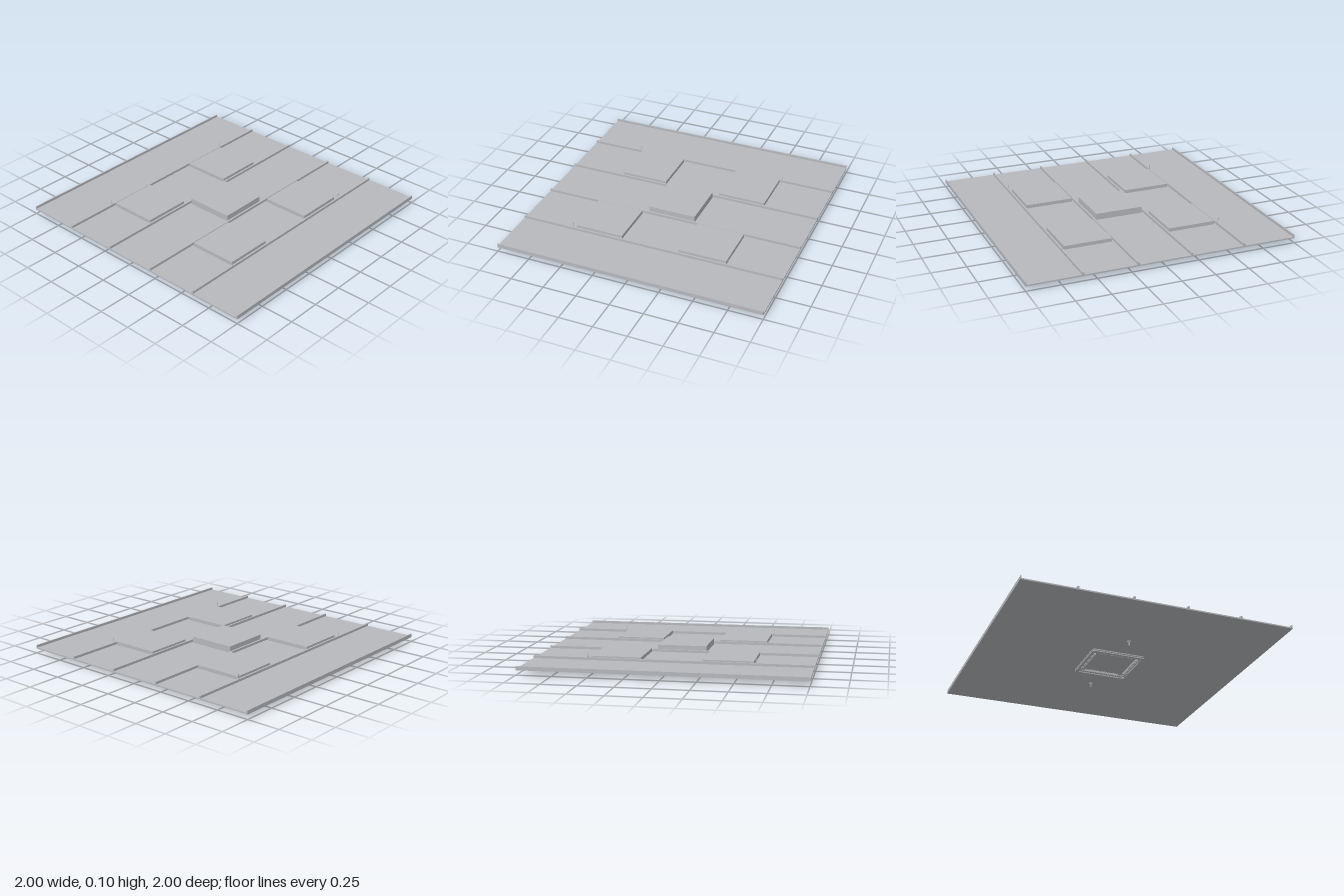
import * as THREE from 'three';

const grey = new THREE.MeshStandardMaterial({ color: 0xb6b8bc });
grey.name = 'panelGrey';

// Box given by centre x, z, footprint and bottom/top heights
function slab(parent, name, x, z, w, d, y0, y1) {
  const m = new THREE.Mesh(new THREE.BoxGeometry(w, y1 - y0, d), grey);
  m.position.set(x, (y0 + y1) / 2, z);
  m.name = name;
  parent.add(m);
  return m;
}

function rod(parent, name, x, z, r, y0, y1, sides = 12) {
  const m = new THREE.Mesh(new THREE.CylinderGeometry(r, r, y1 - y0, sides), grey);
  m.position.set(x, (y0 + y1) / 2, z);
  m.name = name;
  parent.add(m);
}

// Square ring with cut corners, lying flat
function squareRing(parent, name, outer, inner, y0, y1, cut) {
  const corners = (h, c) => [
    [h - c, -h], [h, -h + c], [h, h - c], [h - c, h],
    [-h + c, h], [-h, h - c], [-h, -h + c], [-h + c, -h],
  ].map(([x, y]) => new THREE.Vector2(x, y));
  const shape = new THREE.Shape(corners(outer, cut));
  shape.holes.push(new THREE.Path(corners(inner, cut).reverse()));
  const geo = new THREE.ExtrudeGeometry(shape, { depth: y1 - y0, bevelEnabled: false });
  geo.rotateX(-Math.PI / 2);
  const m = new THREE.Mesh(geo, grey);
  m.position.y = y0;
  m.name = name;
  parent.add(m);
}

export function createModel() {
  const model = new THREE.Group();
  model.name = 'equipmentPanel';

  // Base sheet, edge lips and long ribs
  slab(model, 'baseSheet', 0, 0, 2, 2, 0.034, 0.044);
  for (const s of [-1, 1]) {
    slab(model, 'edgeLip', s * 0.996, 0, 0.008, 2, 0.044, 0.062);
    for (const x of [0.2, 0.6]) slab(model, 'rib', s * x, 0, 0.014, 2, 0.044, 0.062);
  }

  // Raised equipment boxes with a corner pin beside each outer one
  slab(model, 'centreBox', 0, 0, 0.36, 0.36, 0.044, 0.091);
  for (const sx of [-1, 1]) for (const sz of [-1, 1]) {
    slab(model, 'outerBox', sx * 0.4, sz * 0.4, 0.36, 0.36, 0.044, 0.07);
    rod(model, 'cornerPin', sx * 0.6, sz * 0.6, 0.002, 0.044, 0.1, 8);
  }

  // Square mount underneath: two stacked rings
  const mount = new THREE.Group();
  mount.name = 'undersideMount';
  squareRing(mount, 'upperRing', 0.205, 0.175, 0.024, 0.031, 0.012);
  squareRing(mount, 'lowerRing', 0.205, 0.185, 0.012, 0.019, 0.012);
  for (const sx of [-1, 1]) for (const sz of [-1, 1]) {
    rod(mount, 'ringPost', sx * 0.185, sz * 0.185, 0.008, 0.012, 0.034);
  }
  // Rows of small teeth inside each side of the ring
  for (let side = 0; side < 4; side++) {
    const row = new THREE.Group();
    row.name = 'toothRow';
    row.rotation.y = side * Math.PI / 2;
    for (let i = 0; i < 18; i++) {
      slab(row, 'tooth', (i - 8.5) * 0.015, 0.168, 0.008, 0.022, 0.018, 0.034);
    }
    mount.add(row);
  }
  model.add(mount);

  // T-shaped studs under the sheet
  for (const s of [-1, 1]) {
    rod(model, 'studFlange', 0, s * 0.4, 0.016, 0.026, 0.034, 16);
    rod(model, 'studStem', 0, s * 0.4, 0.005, 0, 0.026);
  }
  return model;
}
